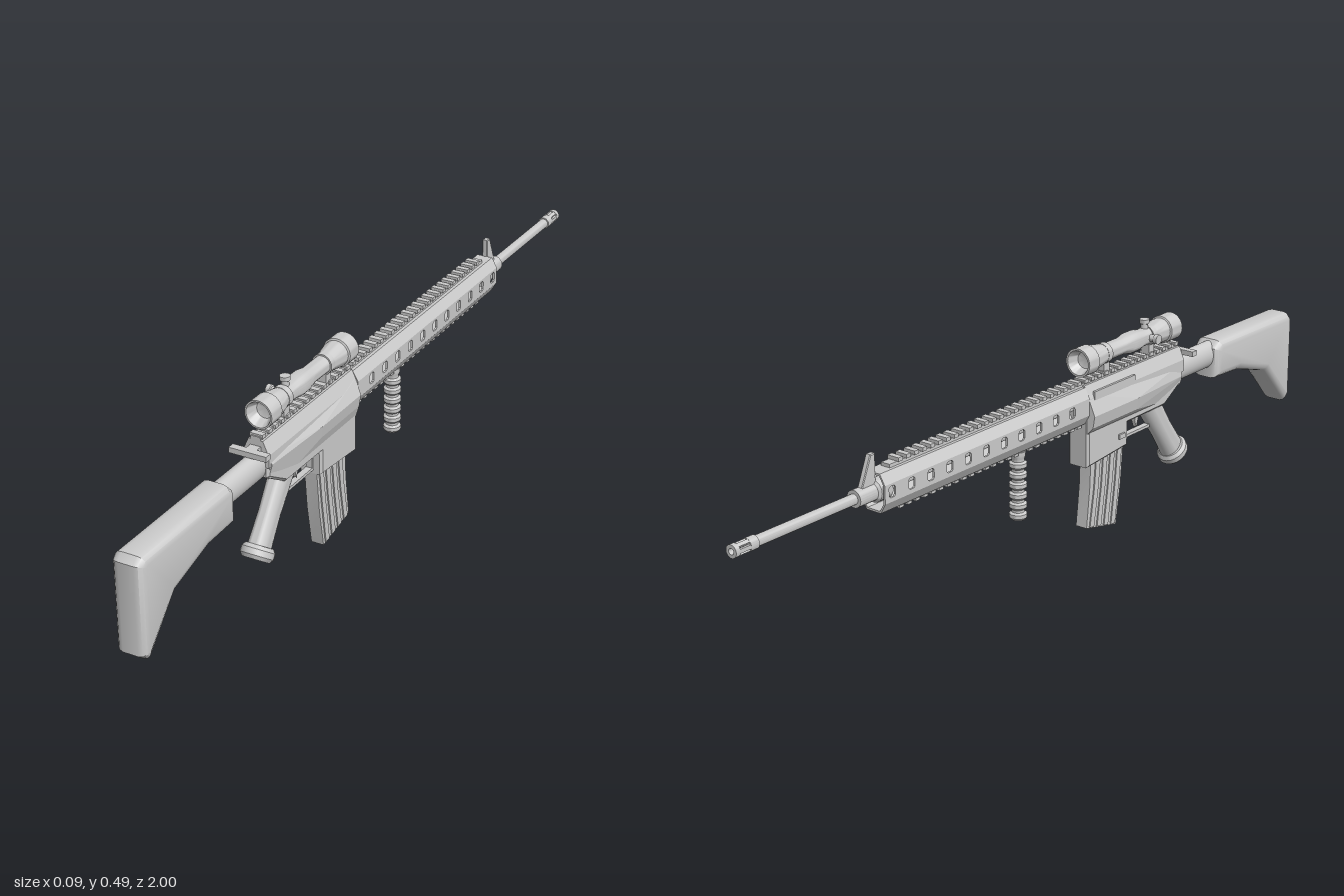
import * as THREE from 'three';
import { toCreasedNormals } from 'three/addons/utils/BufferGeometryUtils.js';
import { ConvexGeometry } from 'three/addons/geometries/ConvexGeometry.js';

const material = new THREE.MeshStandardMaterial({ color: 0xcccccc, side: THREE.DoubleSide });

export function createModel() {
  const model = new THREE.Group();

  function add(name, geometry, x = 0, y = 0, z = 0, parent = model) {
    const mesh = new THREE.Mesh(geometry, material);
    mesh.name = name;
    mesh.position.set(x, y, z);
    parent.add(mesh);
    return mesh;
  }
  const box = (name, w, h, d, x, y, z, parent) =>
    add(name, new THREE.BoxGeometry(w, h, d), x, y, z, parent);
  const shapeOf = (pts) => new THREE.Shape(pts.map(([a, b]) => new THREE.Vector2(a, b)));

  // Side silhouette given as [z, y], extruded across x and centred
  function sidePlate(shape, width, bevel = 0, segments = 1) {
    const geo = new THREE.ExtrudeGeometry(shape, {
      depth: width - 2 * bevel, bevelEnabled: bevel > 0, bevelSize: bevel,
      bevelThickness: bevel, bevelOffset: -bevel, bevelSegments: segments,
    });
    geo.translate(0, 0, -(width - 2 * bevel) / 2).rotateY(-Math.PI / 2);
    return toCreasedNormals(geo, 0.6);
  }
  // Cross-section given as [x, y], extruded from z0 to z1
  const beam = (pts, z0, z1) =>
    new THREE.ExtrudeGeometry(shapeOf(pts), { depth: z1 - z0, bevelEnabled: false }).translate(0, 0, z0);
  // Profile of [radius, height] turned about y, or about z when alongZ is true
  function turned(pts, alongZ, sides = 24) {
    const geo = new THREE.LatheGeometry(pts.map(([r, h]) => new THREE.Vector2(r, h)), sides);
    if (alongZ) geo.rotateX(Math.PI / 2);
    return toCreasedNormals(geo, 0.6);
  }

  // Shoulder stock and its tube
  const stock = shapeOf([[0.65, 0.272], [0.65, 0.35], [0.668, 0.368], [0.985, 0.366], [1, 0.35],
    [1, 0.138], [0.98, 0.122], [0.965, 0.138], [0.88, 0.232], [0.755, 0.268]]);
  add('stock', sidePlate(stock, 0.076, 0.02, 3));
  const tube = turned([[0, 0.49], [1, 0.49], [1, 0.67], [0, 0.67]], true);
  add('stockTube', tube, 0, 0.33, 0).scale.set(0.024, 0.034, 1);

  // Receiver: lower body with magazine well, faceted upper body
  const lower = shapeOf([[0.51, 0.365], [0.51, 0.305], [0.435, 0.26], [0.285, 0.258],
    [0.285, 0.2], [0.125, 0.187], [0.125, 0.365]]);
  add('lowerReceiver', sidePlate(lower, 0.06, 0.006));
  add('upperReceiver', beam([[-0.032, 0.33], [0.032, 0.33], [0.032, 0.36], [0.018, 0.392],
    [-0.018, 0.392], [-0.032, 0.36]], 0.125, 0.51));

  // Bulging side panels
  for (const [side, w, y] of [[-1, 0.047, 0.32], [1, 0.043, 0.335]]) {
    const pts = [];
    for (const [z, py] of [[0.125, 0.272], [0.42, 0.272], [0.505, 0.3], [0.505, 0.35], [0.125, 0.372]])
      pts.push(new THREE.Vector3(side * 0.027, py, z));
    for (const z of [0.128, 0.3])
      pts.push(new THREE.Vector3(side * w, y, z), new THREE.Vector3(side * (w - 0.005), y - 0.03, z));
    pts.push(new THREE.Vector3(side * 0.034, y, 0.5));
    add('sidePanel', new ConvexGeometry(pts));
  }
  box('ejectionCover', 0.006, 0.022, 0.16, -0.031, 0.364, 0.225);
  box('magazineCatch', 0.008, 0.012, 0.022, -0.031, 0.233, 0.256);
  box('chargingHandleBar', 0.093, 0.013, 0.018, 0, 0.3715, 0.535);
  box('chargingHandleStem', 0.026, 0.013, 0.06, 0, 0.3715, 0.51);

  // Magazine with pressed ribs
  const magazine = shapeOf([[0.284, 0.21], [0.155, 0.21], [0.152, 0.13], [0.14, 0.025],
    [0.257, 0], [0.274, 0.1]]);
  add('magazine', sidePlate(magazine, 0.032));
  for (let i = 0; i < 4; i++) {
    const z = 0.028 * i;
    const rib = shapeOf([[0.275 - z, 0.205], [0.258 - z, 0.205], [0.25 - z, 0.12],
      [0.234 - z, 0.008 + z * 0.21], [0.25 - z, 0.005 + z * 0.21], [0.266 - z, 0.12]]);
    add('magazineRib', sidePlate(rib, 0.038));
  }

  // Trigger and guard
  box('triggerGuard', 0.016, 0.007, 0.125, 0, 0.212, 0.34);
  box('guardFront', 0.016, 0.05, 0.008, 0, 0.235, 0.286);
  const trigger = shapeOf([[0.365, 0.265], [0.35, 0.265], [0.345, 0.24], [0.352, 0.222], [0.358, 0.24]]);
  add('trigger', sidePlate(trigger, 0.01));

  // Raked pistol grip with a wide end cap
  const grip = new THREE.Group();
  grip.name = 'pistolGrip';
  grip.position.set(0, 0.26, 0.41);
  grip.rotation.x = -0.62;
  model.add(grip);
  add('gripBody', turned([[0, -0.18], [0.034, -0.18], [0.031, -0.09], [0.035, 0.03], [0, 0.03]]), 0, 0, 0, grip)
    .scale.x = 0.75;
  add('gripCap', turned([[0, -0.195], [0.034, -0.195], [0.041, -0.186], [0.041, -0.172],
    [0.034, -0.163], [0, -0.163]]), 0, 0, 0, grip).scale.x = 0.92;

  // Handguard: top and bottom channels, with pierced side walls
  const channel = [[0.034, 0.364], [0.02, 0.388], [-0.02, 0.388], [-0.034, 0.364],
    [-0.029, 0.364], [-0.018, 0.383], [0.018, 0.383], [0.029, 0.364]];
  add('handguardTop', beam(channel, -0.585, 0.125));
  add('handguardBottom', beam(channel.map(([x, y]) => [x, 0.686 - y]), -0.585, 0.125));
  const wall = shapeOf([[-0.585, 0.322], [0.125, 0.322], [0.125, 0.364], [-0.585, 0.364]]);
  for (let i = 0; i < 11; i++) {
    const z = 0.06 - i * 0.0622, a = 0.01, b = 0.013, c = 0.004;
    wall.holes.push(new THREE.Path([[-a, c - b], [c - a, -b], [a - c, -b], [a, c - b],
      [a, b - c], [a - c, b], [c - a, b], [-a, b - c]].map(([dz, dy]) => new THREE.Vector2(z + dz, 0.345 + dy))));
  }
  for (const side of [-1, 1]) add('handguardSide', sidePlate(wall, 0.005), side * 0.0315, 0, 0);

  // Toothed accessory rails
  box('receiverRail', 0.024, 0.012, 0.385, 0, 0.394, 0.3175);
  box('topRail', 0.024, 0.01, 0.67, 0, 0.391, -0.21);
  box('bottomRail', 0.024, 0.006, 0.67, 0, 0.296, -0.21);
  for (let z = 0.5; z > -0.54; z -= 0.026) {
    box('railTooth', 0.032, 0.009, 0.014, 0, 0.4, z);
    if (z < 0.11) box('lowerRailTooth', 0.032, 0.006, 0.014, 0, 0.292, z);
  }

  // Ribbed foregrip
  const ribs = [[0, 0.125], [0.016, 0.125]];
  for (let i = 0; i < 6; i++) {
    const y = 0.128 + i * 0.025;
    ribs.push([0.021, y + 0.003], [0.021, y + 0.012], [0.015, y + 0.016], [0.015, y + 0.022]);
  }
  ribs.push([0.018, 0.282], [0.018, 0.293], [0, 0.293]);
  add('foregrip', turned(ribs), 0, 0, -0.1);

  // Barrel, gas block and front sight
  add('barrel', turned([[0.006, -0.945], [0.012, -0.945], [0.012, 0.13], [0, 0.13]], true), 0, 0.345, 0);
  add('gasBlock', turned([[0.012, -0.645], [0.02, -0.645], [0.02, -0.59], [0.026, -0.585],
    [0.026, -0.55], [0, -0.55]], true), 0, 0.345, 0);
  const sight = shapeOf([[-0.583, 0.36], [-0.583, 0.432], [-0.598, 0.432], [-0.628, 0.36]]);
  add('frontSight', sidePlate(sight, 0.014, 0.002));

  // Slotted muzzle: two collars joined by bars
  const collar = (z0, z1) => turned([[0.007, z0], [0.015, z0], [0.015, z1], [0.007, z1], [0.007, z0]], true);
  add('muzzleRear', collar(-0.958, -0.935), 0, 0.345, 0);
  add('muzzleTip', collar(-1, -0.988), 0, 0.345, 0);
  for (let i = 0; i < 6; i++) {
    const a = (i * Math.PI) / 3;
    box('muzzleBar', 0.006, 0.009, 0.036, 0.011 * Math.cos(a), 0.345 + 0.011 * Math.sin(a), -0.973)
      .rotation.z = a;
  }

  // Telescopic sight with dished ends
  const scope = new THREE.Group();
  scope.name = 'scope';
  scope.position.y = 0.445;
  model.add(scope);
  add('scopeTube', turned([[0, 0.155], [0.02, 0.149], [0.03, 0.123], [0.035, 0.123], [0.035, 0.162],
    [0.031, 0.164], [0.031, 0.175], [0.021, 0.23], [0.021, 0.29], [0.026, 0.315], [0.026, 0.345],
    [0.022, 0.365], [0.022, 0.4], [0.03, 0.435], [0.03, 0.452], [0.034, 0.454], [0.034, 0.497],
    [0.03, 0.497], [0.02, 0.47], [0, 0.464]], true, 32), 0, 0, 0, scope);
  const knob = [[0, 0], [0.009, 0], [0.009, 0.032], [0.012, 0.034], [0.012, 0.044], [0, 0.044]];
  add('topKnob', turned(knob), 0, 0, 0.385, scope);
  add('sideKnob', turned(knob), 0, 0, 0.385, scope).rotation.z = Math.PI / 2;
  for (const z of [0.4, 0.22]) {
    add('scopeRing', turned([[0.018, z - 0.008], [0.025, z - 0.008], [0.025, z + 0.008],
      [0.018, z + 0.008]], true), 0, 0, 0, scope);
    box('scopeMount', 0.024, 0.025, 0.022, 0, -0.031, z, scope);
  }
  return model;
}
